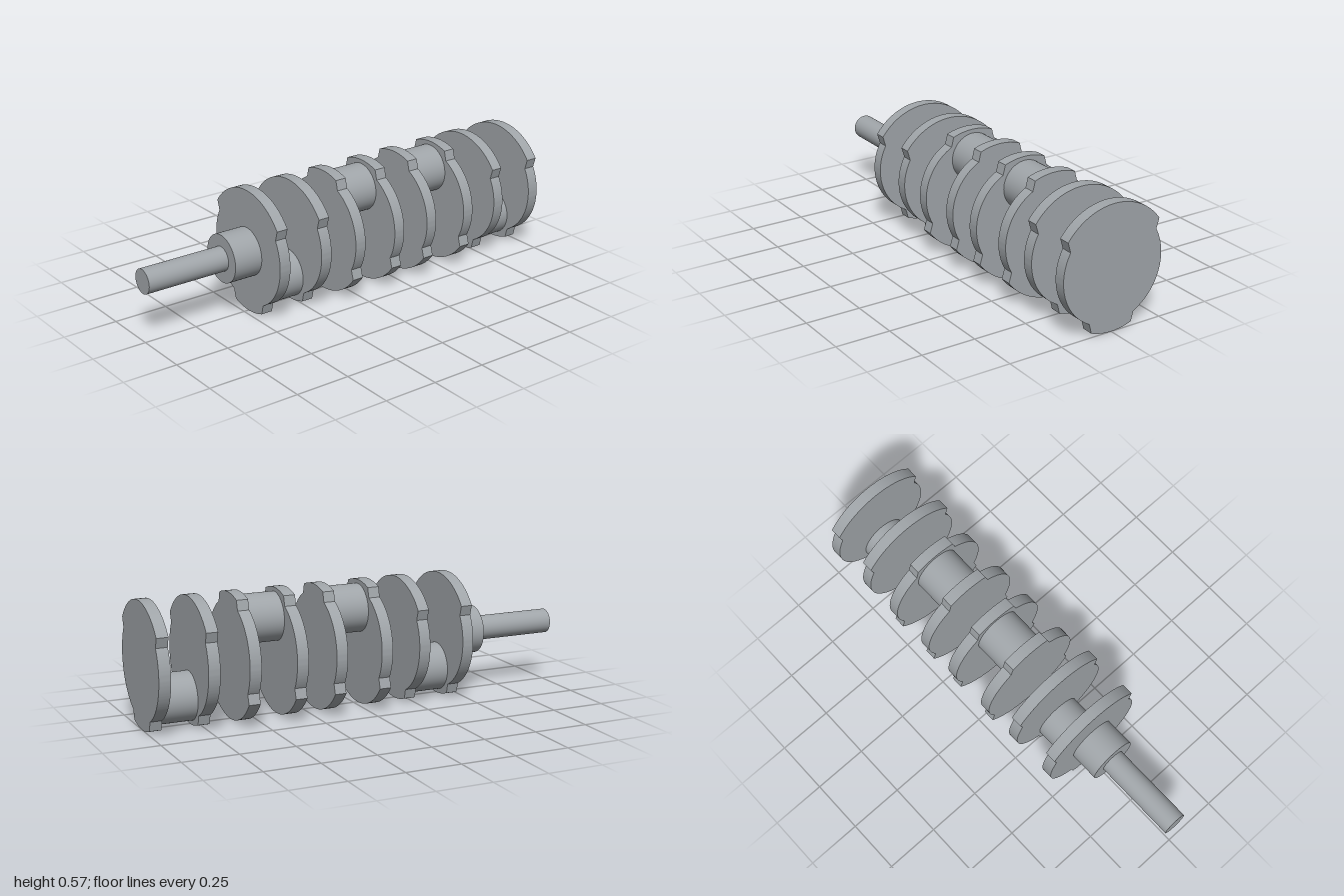
import * as THREE from 'three';
import { toCreasedNormals } from 'three/addons/utils/BufferGeometryUtils.js';

const AXIS_Y = 0.283;    // height of the shaft centreline
const DISC_R = 0.247;    // base radius of a web
const RIM_R = 0.283;     // radius of the raised lobes
const PIN_R = 0.109;
const PIN_OFFSET = 0.156;
const WEB_T = 0.053;
const WEB_GAP = 0.217;   // start of one web to the start of its partner
const rad = THREE.MathUtils.degToRad;

// Web outline: wide counterweight lobe on top, narrow pin lobe below
function webGeometry() {
  const shape = new THREE.Shape();
  shape.absarc(0, 0, RIM_R, rad(36.1), rad(143.9), false);
  shape.absarc(0, 0, DISC_R, rad(150.6), rad(242.8), false);
  shape.absarc(0, 0, RIM_R, rad(249), rad(291), false);
  shape.absarc(0, 0, DISC_R, rad(297.2), rad(389.4), false);
  shape.closePath();
  const geo = new THREE.ExtrudeGeometry(shape, { depth: WEB_T, bevelEnabled: false, curveSegments: 32 });
  geo.rotateY(Math.PI / 2);
  return toCreasedNormals(geo, 0.2);
}

export function createModel() {
  const model = new THREE.Group();
  const steel = new THREE.MeshStandardMaterial({ color: 0xa0a5a9 });
  steel.name = 'steel grey';

  // Cylinder lying along x between two ends
  function rod(name, x0, x1, y, radius, parent) {
    const geo = new THREE.CylinderGeometry(radius, radius, x1 - x0, 64);
    geo.rotateZ(Math.PI / 2);
    const mesh = new THREE.Mesh(geo, steel);
    mesh.name = name;
    mesh.position.set((x0 + x1) / 2, y, 0);
    parent.add(mesh);
  }

  // Nose shaft and front journal
  rod('noseShaft', -1, -0.61, AXIS_Y, 0.056, model);
  rod('frontJournal', -0.61, -0.476, AXIS_Y, 0.11, model);

  // Four throws: outer pins point down, inner pins point up
  const web = webGeometry();
  [-1, 1, 1, -1].forEach((side, i) => {
    const crank = new THREE.Group();
    crank.name = `crankThrow${i + 1}`;
    crank.position.set(-0.476 + i * 0.402, AXIS_Y, 0);
    for (const x of [0, WEB_GAP]) {
      const mesh = new THREE.Mesh(web, steel);
      mesh.name = 'web';
      mesh.position.x = x;
      if (side > 0) mesh.rotation.x = Math.PI;
      crank.add(mesh);
    }
    rod('crankPin', WEB_T, WEB_GAP, side * PIN_OFFSET, PIN_R, crank);
    model.add(crank);
  });

  return model;
}
